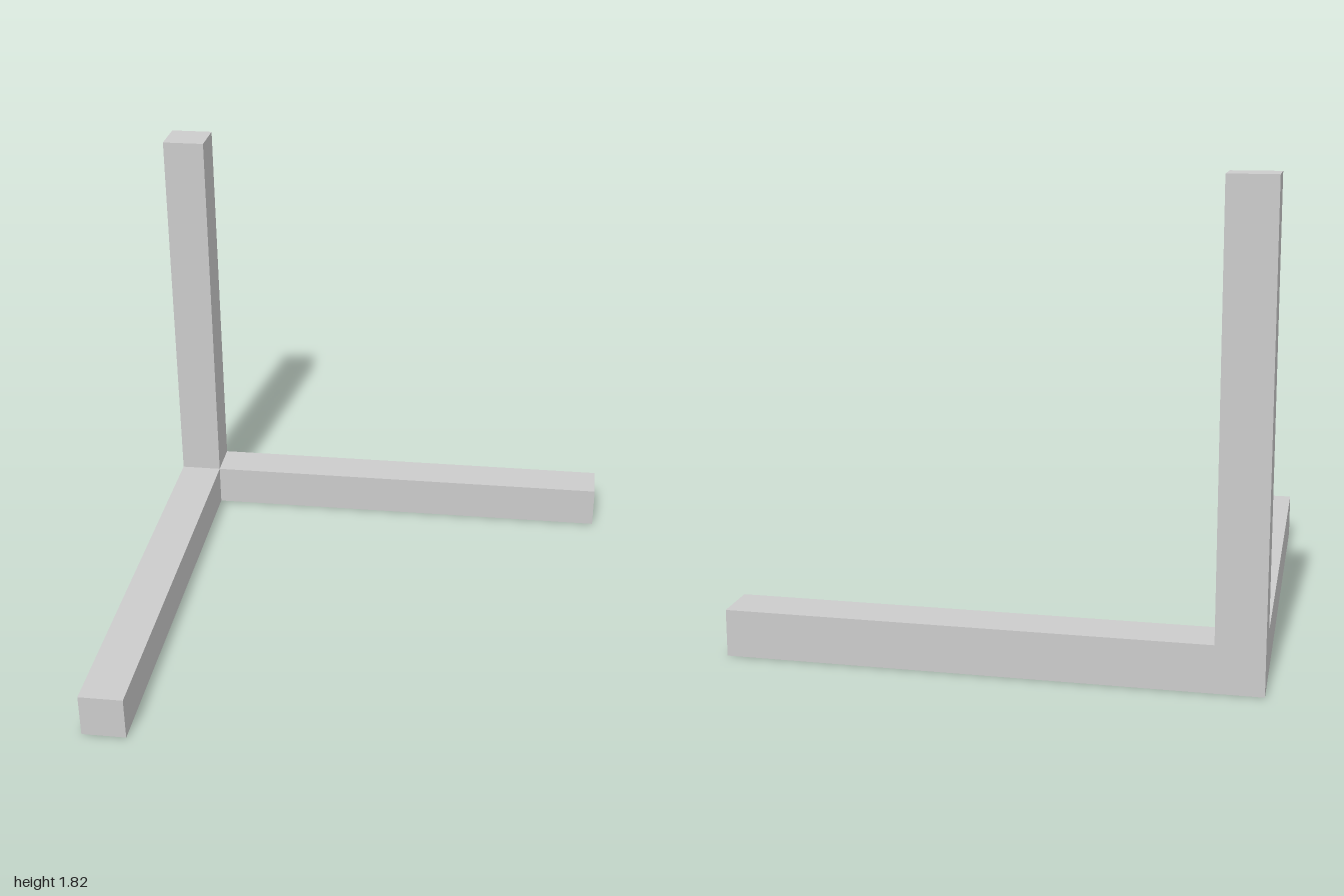
import * as THREE from 'three';

const T = 0.18;      // square section of every bar
const HEIGHT = 1.82; // height of the post
const SPAN = 2;      // reach of the floor arms, corner included

export function createModel() {
  const model = new THREE.Group();
  model.name = 'cornerFrame';
  const material = new THREE.MeshStandardMaterial({ color: 0xcccccc, flatShading: true });

  // Box placed by its minimum corner
  const addBar = (name, size, min) => {
    const bar = new THREE.Mesh(new THREE.BoxGeometry(...size), material);
    bar.name = name;
    bar.position.set(...min.map((m, i) => m + size[i] / 2));
    model.add(bar);
  };

  // Upright post standing in the back corner
  addBar('post', [T, HEIGHT, T], [-1, 0, -1]);
  // Floor arms butting against the post
  addBar('sideArm', [SPAN - T, T, T], [-1 + T, 0, -1]);
  addBar('frontArm', [T, T, SPAN - T], [-1, 0, -1 + T]);

  return model;
}
